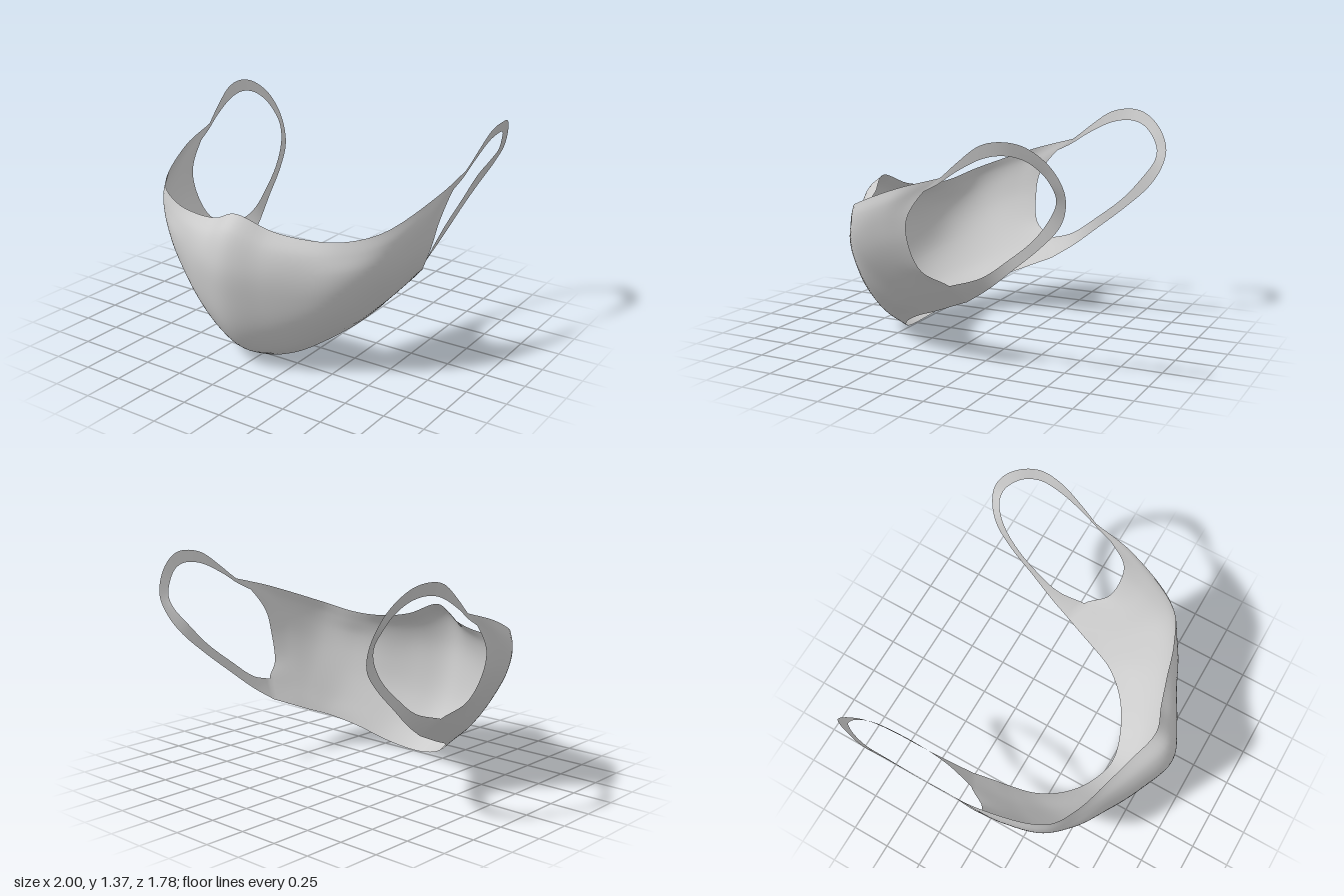
import * as THREE from 'three';
import { mergeGeometries, mergeVertices } from 'three/addons/utils/BufferGeometryUtils.js';

const V = (p) => new THREE.Vector3(...p);
const K = 6; // subdivisions between two control points

// Smooth curve through points, sampled K times per span
const refine = (pts) => new THREE.CatmullRomCurve3(pts).getPoints((pts.length - 1) * K);

// Surface through rows of points (all rows equally long)
function loft(rows, flip = false) {
  const cols = rows[0].map((_, j) => refine(rows.map((r) => r[j])));
  const nv = cols.length, nu = cols[0].length;
  const pos = [], idx = [];
  for (let i = 0; i < nu; i++) for (let j = 0; j < nv; j++) pos.push(...cols[j][i].toArray());
  for (let i = 0; i < nu - 1; i++) for (let j = 0; j < nv - 1; j++) {
    const a = i * nv + j, b = a + nv;
    if (flip) idx.push(a, a + 1, b, b, a + 1, b + 1);
    else idx.push(a, b, a + 1, b, b + 1, a + 1);
  }
  const g = new THREE.BufferGeometry();
  g.setAttribute('position', new THREE.Float32BufferAttribute(pos, 3));
  g.setIndex(idx);
  return g;
}

const mirror = (row) => row.map((p) => new THREE.Vector3(-p.x, p.y, p.z));

// Cross-sections of the left half, bottom edge to top edge, from the nose line back
const sections = [
  [[0, 0, .51], [0, .1, .68], [0, .27, .8], [0, .5, .87], [0, .7, .89], [0, .88, .84], [0, .97, .74]],
  [[.2, .04, .46], [.21, .13, .62], [.21, .29, .74], [.21, .5, .8], [.21, .68, .81], [.2, .81, .77], [.2, .89, .68]],
  [[.38, .135, .35], [.41, .23, .52], [.43, .37, .64], [.43, .53, .69], [.42, .67, .7], [.41, .78, .675], [.4, .86, .62]],
  [[.5, .22, .2], [.56, .3, .36], [.61, .44, .5], [.635, .58, .57], [.64, .7, .59], [.62, .79, .58], [.6, .87, .56]],
  [[.55, .275, .06], [.65, .38, .2], [.73, .51, .32], [.785, .64, .4], [.81, .76, .44], [.81, .86, .45], [.79, .93, .45]],
  [[.585, .33, -.07], [.69, .43, .06], [.79, .57, .15], [.86, .72, .2], [.895, .85, .21], [.92, .97, .16], [.93, 1.07, .08]],
  // this one follows the front rim of the ear opening
  [[.62, .38, -.19], [.725, .492, -.13], [.81, .58, 0], [.885, .75, .043], [.92, .9, .03], [.94, 1.065, -.09], [.957, 1.15, -.2]],
].map((s) => refine(s.map(V)));

// Ear loop: [outer edge, inner edge] from below the ear, round the back, to the top
const loopPairs = [
  [[.65, .48, -.34], [.69, .55, -.31]],
  [[.685, .61, -.5], [.695, .67, -.48]],
  [[.72, .76, -.68], [.725, .81, -.65]],
  [[.765, .89, -.81], [.77, .95, -.765]],
  [[.82, 1, -.87], [.83, 1.05, -.822]],
  [[.88, 1.12, -.885], [.875, 1.12, -.822]],
  [[.93, 1.25, -.825], [.91, 1.2, -.78]],
  [[.975, 1.345, -.71], [.95, 1.27, -.7]],
  [[1, 1.37, -.6], [.975, 1.295, -.6]],
  [[.993, 1.345, -.46], [.975, 1.275, -.47]],
  [[.975, 1.24, -.31], [.965, 1.19, -.3]],
  [[.966, 1.19, -.25], [.953, 1.117, -.19]],
];

export function createModel() {
  const group = new THREE.Group();
  group.name = 'faceMask';

  // Face cover, symmetric about the nose line
  const body = loft([...sections.slice(1).reverse().map(mirror), ...sections]);

  // Ear loops start and end on the last section so the surfaces join
  const last = sections[sections.length - 1];
  const loopRows = [
    last.slice(0, K + 1),
    ...loopPairs.map(([o, i]) => Array.from({ length: K + 1 }, (_, k) => V(o).lerp(V(i), k / K))),
    last.slice(-K - 1).reverse(),
  ];
  const leftLoop = loft(loopRows);
  const rightLoop = loft(loopRows.map(mirror), true);

  // Weld into one smooth sheet of cloth
  const geometry = mergeVertices(mergeGeometries([body, leftLoop, rightLoop]), 1e-4);
  geometry.computeVertexNormals();
  const mask = new THREE.Mesh(
    geometry,
    new THREE.MeshStandardMaterial({ color: 0xcccccc, side: THREE.DoubleSide }),
  );
  mask.name = 'maskWithEarLoops';
  group.add(mask);
  return group;
}
